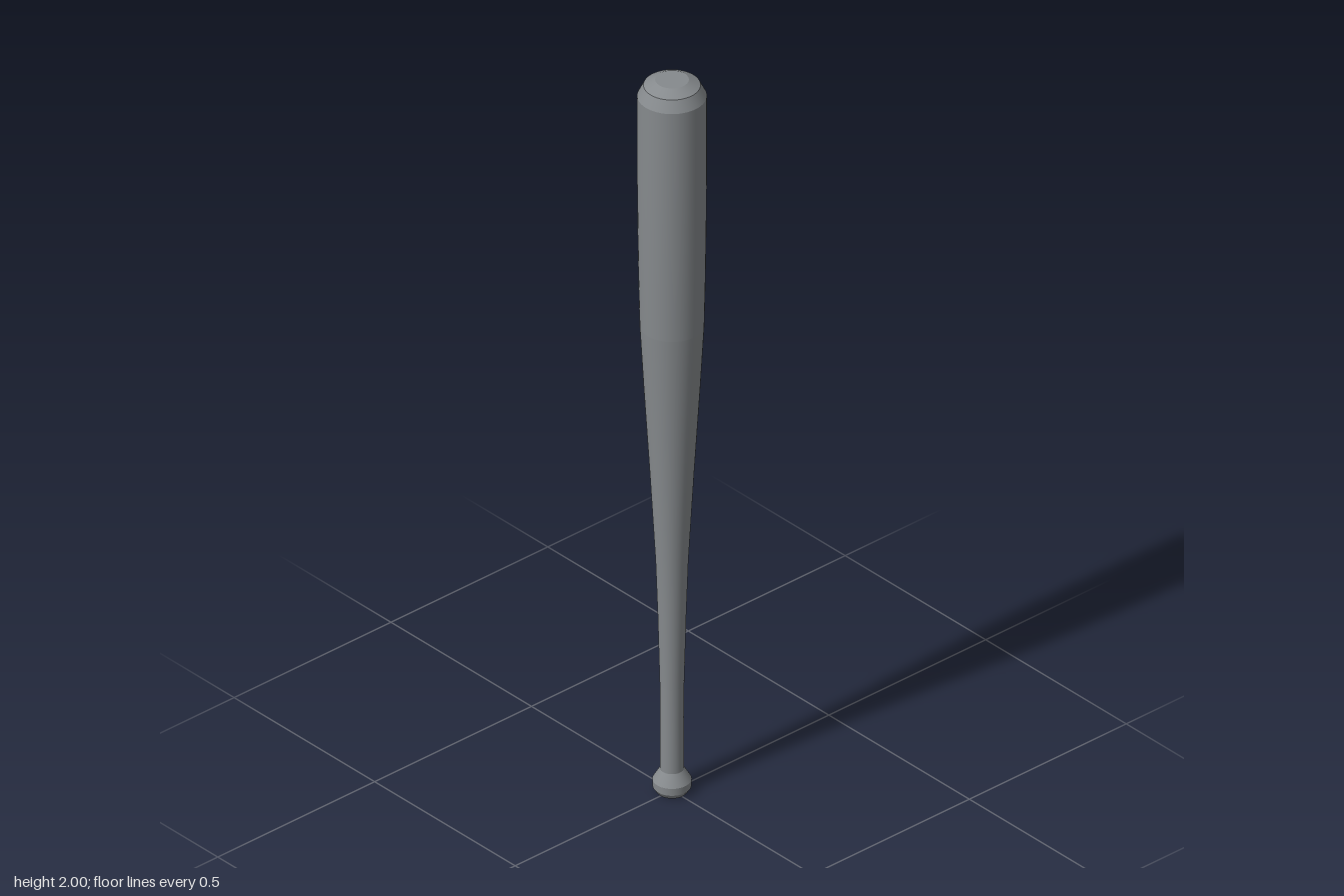
import * as THREE from 'three';

export function createModel() {
  const bat = new THREE.Group();
  bat.name = 'bat';
  const grey = new THREE.MeshStandardMaterial({ color: 0x868a8d });
  grey.name = 'grey';

  // Each part is a lathe of a [radius, height] profile, running upwards
  const turn = (name, profile) => {
    const points = profile.map(([r, y]) => new THREE.Vector2(r, y));
    const mesh = new THREE.Mesh(new THREE.LatheGeometry(points, 48), grey);
    mesh.name = name;
    bat.add(mesh);
  };

  // Knob at the end of the grip
  turn('knobBase', [[0, 0], [0.036, 0]]);
  turn('knobBevel', [[0.036, 0], [0.046, 0.014]]);
  turn('knobRim', [[0.046, 0.014], [0.047, 0.034]]);
  turn('knobNeck', [[0.047, 0.034], [0.04, 0.046], [0.029, 0.064]]);

  // Grip, taper and barrel
  turn('grip', [[0.029, 0.064], [0.028, 0.2], [0.029, 0.3]]);
  turn('taper', [[0.029, 0.3], [0.034, 0.5], [0.039, 0.65], [0.053, 0.9], [0.067, 1.13], [0.077, 1.31]]);
  turn('barrel', [[0.077, 1.31], [0.08, 1.45], [0.082, 1.6], [0.083, 1.75], [0.083, 1.955]]);

  // Faceted crown
  turn('crownLower', [[0.083, 1.955], [0.068, 1.985]]);
  turn('crownUpper', [[0.068, 1.985], [0.04, 2]]);
  turn('crownCap', [[0.04, 2], [0, 2]]);

  return bat;
}
